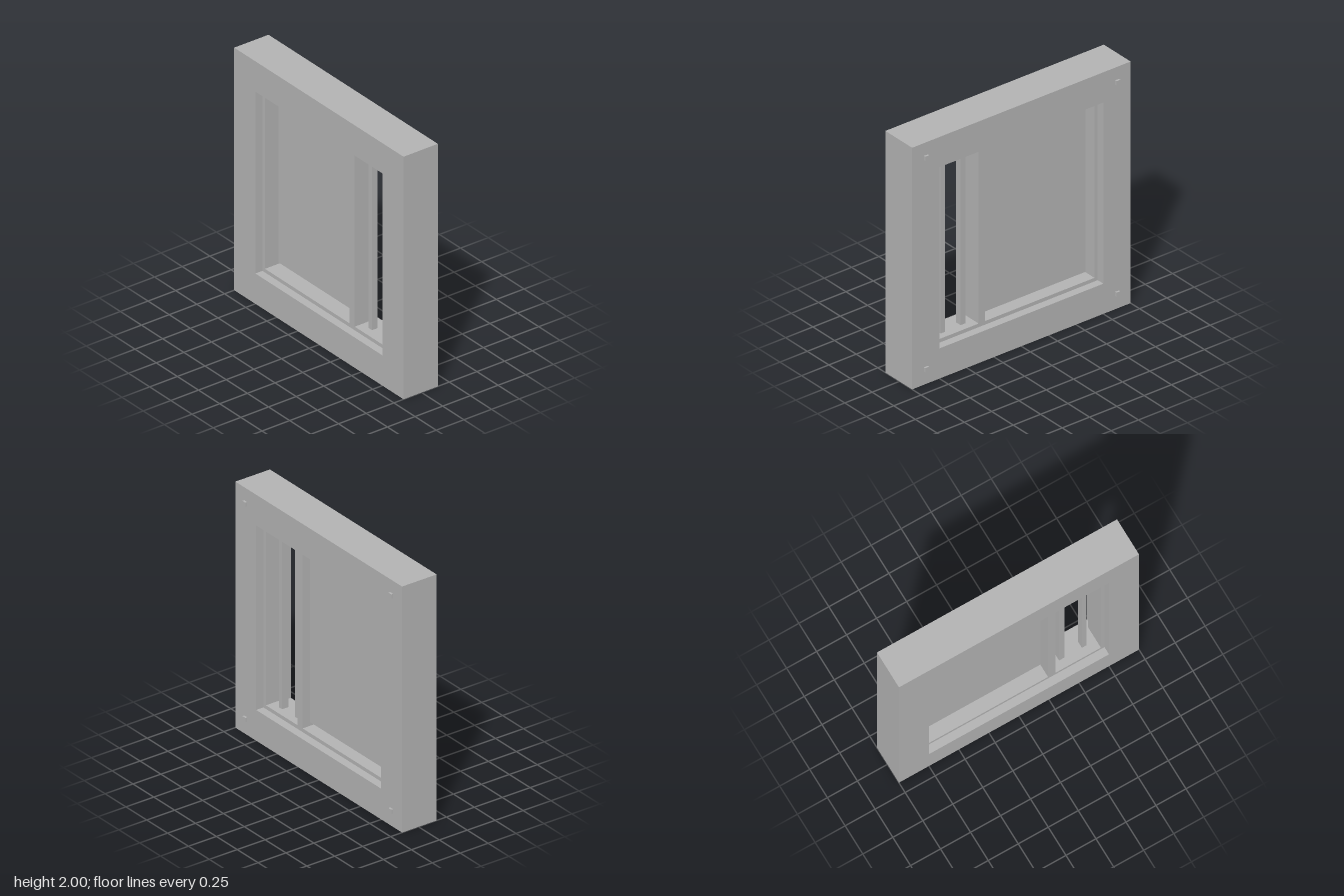
import * as THREE from 'three';

const grey = new THREE.MeshStandardMaterial({ color: 0xb3b3b3 });
grey.name = 'grey';

// Traces an axis-aligned rectangle into a Shape or Path
function rect(path, x0, y0, x1, y1) {
  path.moveTo(x0, y0);
  path.lineTo(x1, y0);
  path.lineTo(x1, y1);
  path.lineTo(x0, y1);
  path.closePath();
  return path;
}

// Rectangular slab with rectangular openings, spanning z0 to z1
function slab(name, outer, holes, z0, z1) {
  const shape = rect(new THREE.Shape(), ...outer);
  for (const h of holes) shape.holes.push(rect(new THREE.Path(), ...h));
  const geometry = new THREE.ExtrudeGeometry(shape, { depth: z1 - z0, bevelEnabled: false });
  geometry.translate(0, 0, z0);
  const mesh = new THREE.Mesh(geometry, grey);
  mesh.name = name;
  return mesh;
}

// Box given by its corner ranges
function block(name, x0, x1, y0, y1, z0, z1) {
  const mesh = new THREE.Mesh(new THREE.BoxGeometry(x1 - x0, y1 - y0, z1 - z0), grey);
  mesh.name = name;
  mesh.position.set((x0 + x1) / 2, (y0 + y1) / 2, (z0 + z1) / 2);
  return mesh;
}

export function createModel() {
  const model = new THREE.Group();
  model.name = 'windowWall';
  const back = -0.147, front = 0.163;

  // Thick wall with a square opening
  model.add(slab('wall', [-1, 0, 1, 2], [[-0.75, 0.25, 0.75, 1.75]], back, front));

  // Recessed window frame: a wide bay and a narrow bay split by a mullion
  model.add(slab('windowFrame', [-0.75, 0.25, 0.75, 1.75],
    [[-0.72, 0.28, 0.28, 1.72], [0.34, 0.28, 0.72, 1.72]], -0.082, 0.099));

  // Thin panel set in the wide bay with a gap around it
  model.add(block('panel', -0.69, 0.275, 0.313, 1.688, -0.019, 0));

  // Upright bars in the narrow bay
  model.add(block('innerBar', 0.412, 0.456, 0.28, 1.72, -0.02, 0.031));
  model.add(block('outerBar', 0.602, 0.642, 0.28, 1.72, -0.025, 0.031));

  // Small pegs at the four corners of the back
  for (const x of [-0.875, 0.875]) {
    for (const y of [0.127, 1.877]) {
      model.add(block('backPeg', x - 0.0175, x + 0.0175, y - 0.0175, y + 0.0175, -0.163, back));
    }
  }
  return model;
}
